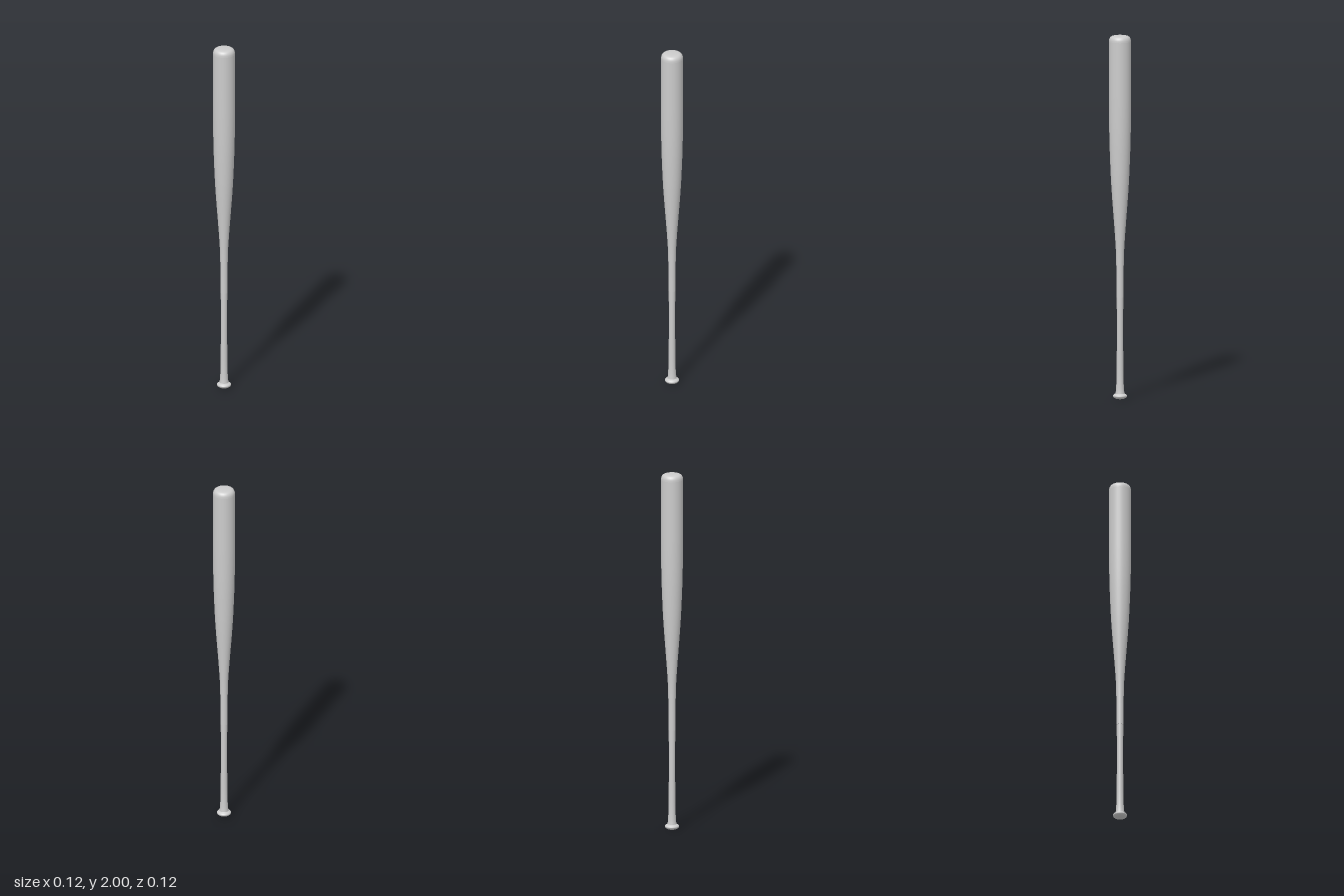
import * as THREE from 'three';

const material = new THREE.MeshStandardMaterial({ color: 0xcccccc });
const vectors = (pairs) => pairs.map(([r, y]) => new THREE.Vector2(r, y));

// Turned part: smooth curve through [radius, height] points, bottom to top
function turned(name, pairs, samples) {
  const profile = new THREE.SplineCurve(vectors(pairs)).getPoints(samples);
  profile.forEach((p) => { p.x = Math.max(p.x, 0); });
  const mesh = new THREE.Mesh(new THREE.LatheGeometry(profile, 32), material);
  mesh.name = name;
  return mesh;
}

export function createModel() {
  const bat = new THREE.Group();
  bat.name = 'bat';

  // Rounded knob at the foot
  bat.add(turned('knob', [
    [0, 0], [0.018, 0.002], [0.032, 0.008], [0.039, 0.017],
    [0.036, 0.024], [0.027, 0.03], [0.02, 0.034],
  ], 24));

  // Slim grip, flaring into the knob
  bat.add(turned('grip', [
    [0.025, 0.028], [0.0215, 0.06], [0.019, 0.12], [0.018, 0.2],
    [0.0175, 0.35], [0.0178, 0.56],
  ], 24));

  // Small ledge where the body meets the grip
  const ledge = new THREE.Mesh(
    new THREE.LatheGeometry(vectors([[0.015, 0.56], [0.02, 0.56]]), 32), material);
  ledge.name = 'gripLedge';
  bat.add(ledge);

  // Body swelling from the handle into the barrel
  bat.add(turned('barrel', [
    [0.02, 0.56], [0.02, 0.68], [0.0215, 0.79], [0.027, 0.89], [0.035, 1.0],
    [0.0425, 1.1], [0.049, 1.2], [0.0535, 1.3], [0.057, 1.4], [0.059, 1.5],
    [0.06, 1.62], [0.06, 1.8], [0.06, 1.965],
  ], 48));

  // Domed end
  bat.add(turned('barrelEnd', [
    [0.06, 1.965], [0.0585, 1.978], [0.053, 1.989], [0.043, 1.996],
    [0.025, 1.999], [0, 2],
  ], 20));

  return bat;
}
